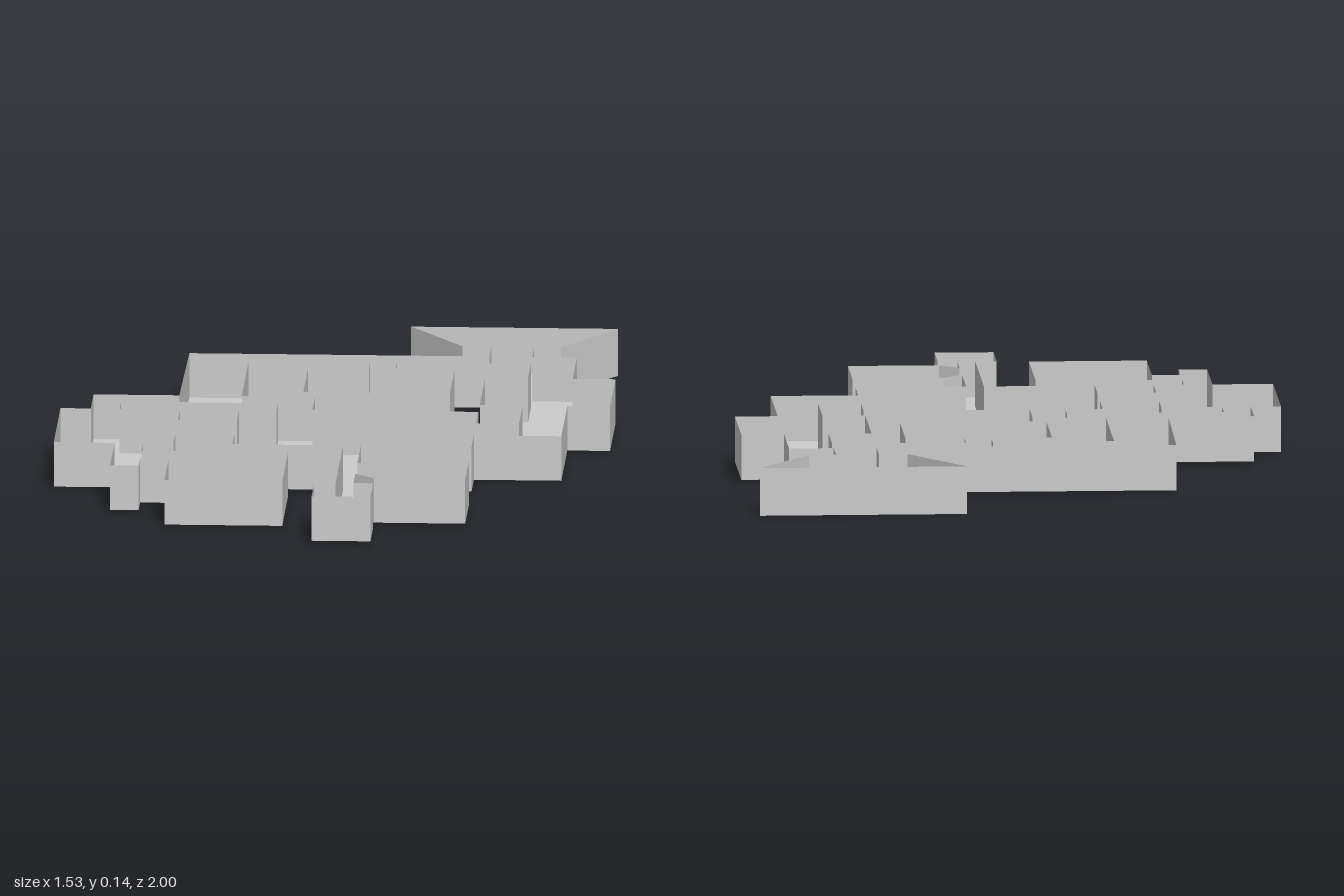
import * as THREE from 'three';
import { mergeGeometries } from 'three/addons/utils/BufferGeometryUtils.js';

const TOP = 0.135;
const material = new THREE.MeshStandardMaterial({ color: 0xcccccc, side: THREE.DoubleSide });

// All plans are [x, z] corners.
const westWing = [
  [0.4, -0.775], [0.4, -0.66], [-0.44, -0.66], [-0.445, -0.165], [-0.685, -0.165], [-0.685, 0],
  [-0.77, 0], [-0.77, 0.4], [-0.6, 0.4], [-0.6, 0.665], [-0.52, 0.665], [-0.52, 0.575],
  [-0.44, 0.575], [-0.44, 0.83], [-0.11, 0.83], [-0.11, 0.49], [-0.52, 0.49], [-0.52, 0.4],
  [-0.435, 0.4], [-0.435, 0.265], [-0.27, 0.265], [-0.27, 0.4], [0.04, 0.4],
];
const southWing = [
  [0.04, 0.84], [-0.02, 0.84], [-0.02, 1], [0.145, 1], [0.145, 0.84], [0.09, 0.84],
  [0.09, 0.73], [0.145, 0.78], [0.4, 0.78], [0.4, 0.56], [0.145, 0.56], [0.09, 0.61], [0.09, 0.4],
];
const eastWing = [
  [0.4, 0.4], [0.4, 0.265], [0.645, 0.265], [0.645, -0.09], [0.765, -0.09], [0.765, -0.41],
  [0.645, -0.41], [0.645, -0.66], [0.52, -0.66], [0.52, -0.775],
];
// Gap around the inner chamber, which hangs off the back corridor
const chamberCourt = [
  [-0.27, -0.58], [0.07, -0.58], [0.07, -0.505], [-0.1, -0.505], [-0.1, -0.22], [0.31, -0.22],
  [0.31, -0.505], [0.145, -0.505], [0.145, -0.58], [0.52, -0.58], [0.52, -0.41], [0.4, -0.41],
  [0.4, -0.09], [0.52, -0.09], [0.52, 0.125], [0.4, 0.125], [0.4, -0.01], [-0.065, -0.01],
  [-0.065, -0.165], [-0.27, -0.165],
];
// Gap between the side room and the hall
const sideCourt = [
  [-0.605, -0.085], [-0.165, -0.085], [-0.165, -0.01], [-0.27, -0.01],
  [-0.27, 0.125], [-0.435, 0.125], [-0.435, 0], [-0.605, 0],
];
// Flared entrance, open towards the neck
const entrance = [
  [0.52, -0.775], [0.595, -0.775], [0.745, -1], [0.165, -1], [0.32, -0.775], [0.4, -0.775],
];

const toVectors = (plan) => plan.map(([x, z]) => new THREE.Vector2(x, -z));

function floor(name, plan, holes, y) {
  const shape = new THREE.Shape(toVectors(plan));
  shape.holes = holes.map((h) => new THREE.Path(toVectors(h)));
  const geometry = new THREE.ShapeGeometry(shape).rotateX(-Math.PI / 2).translate(0, y, 0);
  const mesh = new THREE.Mesh(geometry, material);
  mesh.name = name;
  return mesh;
}

// One upright sheet for every side of the plan
function walls(name, plan, y, closed) {
  const corners = closed ? [...plan, plan[0]] : plan;
  const sheets = corners.slice(1).map(([x1, z1], i) => {
    const [x0, z0] = corners[i];
    const dx = x1 - x0, dz = z1 - z0;
    return new THREE.PlaneGeometry(Math.hypot(dx, dz), TOP - y)
      .rotateY(-Math.atan2(dz, dx))
      .translate((x0 + x1) / 2, (TOP + y) / 2, (z0 + z1) / 2);
  });
  const mesh = new THREE.Mesh(mergeGeometries(sheets), material);
  mesh.name = name;
  return mesh;
}

export function createModel() {
  const model = new THREE.Group();
  model.name = 'floorPlan';
  const base = 0.007;
  const outline = [...westWing, ...southWing, ...eastWing];
  model.add(
    floor('mainFloor', outline, [chamberCourt, sideCourt], base),
    walls('outerWalls', outline, base, false),
    walls('chamberCourtWalls', chamberCourt, base, true),
    walls('sideCourtWalls', sideCourt, base, true),
    floor('entranceFloor', entrance, [], 0),
    walls('entranceWalls', entrance, 0, false),
  );
  return model;
}
